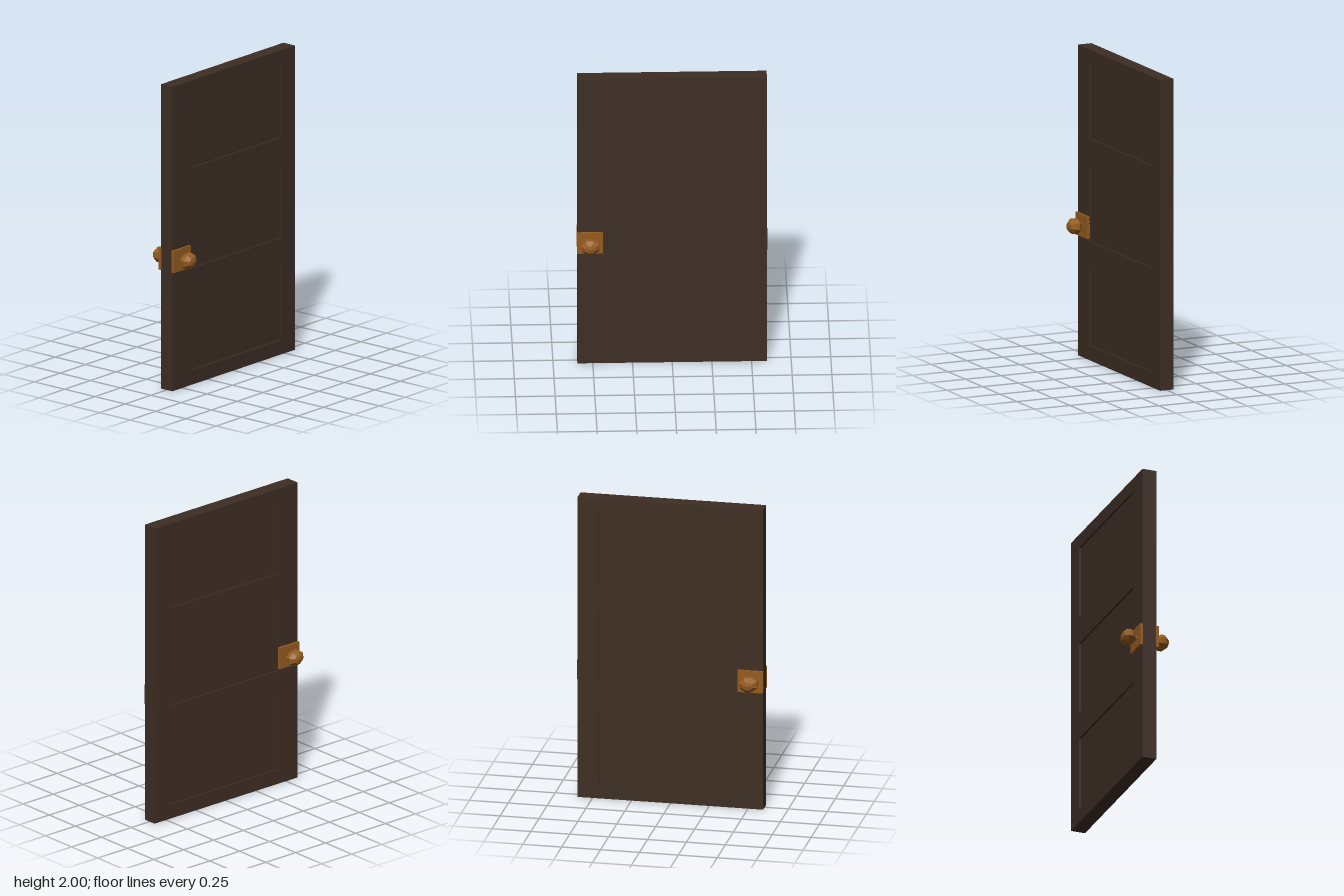
import * as THREE from 'three';

export function createModel() {
  const door = new THREE.Group();
  door.name = 'door';
  const wood = new THREE.MeshStandardMaterial({ name: 'dark wood', color: 0x3d2e24 });
  const brass = new THREE.MeshStandardMaterial({ name: 'aged brass', color: 0x945c20, flatShading: true });

  const add = (parent, name, geometry, material, x = 0, y = 0, z = 0) => {
    const mesh = new THREE.Mesh(geometry, material);
    mesh.name = name;
    mesh.position.set(x, y, z);
    parent.add(mesh);
    return mesh;
  };
  const trace = (path, x0, y0, x1, y1) =>
    path.moveTo(x0, y0).lineTo(x1, y0).lineTo(x1, y1).lineTo(x0, y1).closePath();

  // Frame with three openings, and the recessed panels inside them
  const halfWidth = 0.597, halfDepth = 0.047, recess = 0.013;
  const outline = new THREE.Shape();
  trace(outline, -halfWidth, 0, halfWidth, 2);
  for (const [bottom, top] of [[0.095, 0.585], [0.765, 1.245], [1.425, 1.91]]) {
    const opening = new THREE.Path();
    trace(opening, -0.435, bottom, 0.465, top);
    outline.holes.push(opening);
    add(door, 'recessedPanel',
      new THREE.BoxGeometry(0.9, top - bottom, 2 * (halfDepth - recess)),
      wood, 0.015, (bottom + top) / 2, 0);
  }
  add(door, 'doorFrame',
    new THREE.ExtrudeGeometry(outline, { depth: 2 * halfDepth, bevelEnabled: false }),
    wood, 0, 0, -halfDepth);

  // Thin plate on the hinge edge
  add(door, 'edgePlate', new THREE.BoxGeometry(0.004, 0.13, 2 * halfDepth - 0.002), wood, halfWidth + 0.001, 0.85, 0);

  // Faceted knob profile: stem, then bulb (radius, distance from the door's middle)
  const profile = [
    [0.022, 0.06], [0.018, 0.072], [0.034, 0.074], [0.06, 0.098],
    [0.06, 0.126], [0.034, 0.151], [0, 0.158],
  ].map(([r, d]) => new THREE.Vector2(r, d));
  const knob = new THREE.LatheGeometry(profile, 8)
    .rotateX(Math.PI / 2)
    .rotateZ(Math.PI / 8)
    .scale(1.04, 0.86, 1)
    .rotateZ(0.12);

  // One handle on each face
  for (const [name, turn] of [['frontHandle', 0], ['backHandle', Math.PI]]) {
    const handle = new THREE.Group();
    handle.name = name;
    handle.position.set(-0.517, 0.852, 0);
    handle.rotation.y = turn;
    add(handle, 'backPlate', new THREE.BoxGeometry(0.164, 0.145, 0.02), brass, 0, 0, 0.053);
    add(handle, 'knob', knob, brass);
    door.add(handle);
  }
  return door;
}
